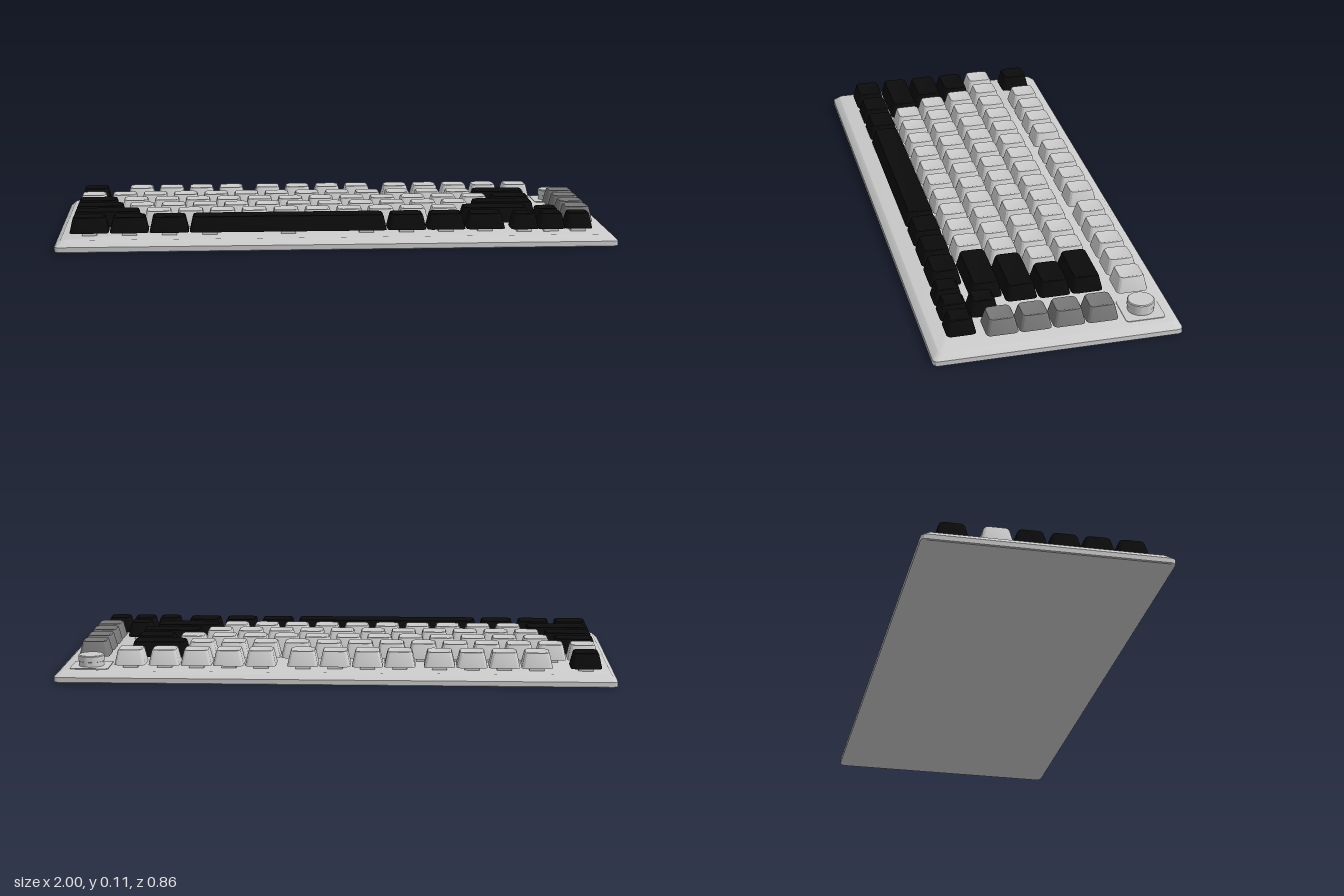
import * as THREE from 'three';
import { toCreasedNormals } from 'three/addons/utils/BufferGeometryUtils.js';

const mat = (color) => new THREE.MeshStandardMaterial({ color });
const light = mat(0xcccccc), mid = mat(0x777777), dark = mat(0x0b0b0b), green = mat(0x22cc33);

// Stacks rounded rectangles [y, inset, corner radius] into a closed solid.
function roundedLoft(w, d, sections, cornerSteps = 3) {
  const pos = [], index = [], n = 4 * (cornerSteps + 1);
  for (const [y, inset, r] of sections) {
    for (let q = 0; q < 4; q++) {
      const sx = q === 0 || q === 3 ? 1 : -1, sz = q < 2 ? -1 : 1;
      for (let s = 0; s <= cornerSteps; s++) {
        const a = (q + s / cornerSteps) * Math.PI / 2;
        pos.push(sx * (w / 2 - inset - r) + r * Math.cos(a), y, sz * (d / 2 - inset - r) - r * Math.sin(a));
      }
    }
  }
  const last = sections.length - 1;
  pos.push(0, sections[0][0], 0, 0, sections[last][0], 0);
  const bottom = n * sections.length, top = bottom + 1;
  for (let i = 0; i < n; i++) {
    const j = (i + 1) % n;
    for (let k = 0; k < last; k++) {
      const a = k * n + i, b = k * n + j;
      index.push(a, b, b + n, a, b + n, a + n);
    }
    index.push(bottom, j, i, top, last * n + i, last * n + j);
  }
  const g = new THREE.BufferGeometry();
  g.setAttribute('position', new THREE.Float32BufferAttribute(pos, 3));
  g.setIndex(index);
  return toCreasedNormals(g, 0.5);
}

function add(parent, name, geometry, material, x = 0, y = 0, z = 0) {
  const mesh = new THREE.Mesh(geometry, material);
  mesh.name = name;
  mesh.position.set(x, y, z);
  parent.add(mesh);
  return mesh;
}

const capCache = {};
function capGeometry(w, d) {
  const id = w.toFixed(3) + '/' + d.toFixed(3);
  // tapered skirt, bevelled rim and a shallow dish on top
  return capCache[id] ??= roundedLoft(w, d, [
    [0.054, 0, 0.016], [0.103, 0.011, 0.016], [0.1075, 0.0135, 0.015],
    [0.109, 0.018, 0.013], [0.107, 0.023, 0.012],
  ]);
}
const stemGeometry = new THREE.BoxGeometry(0.053, 0.03, 0.053);

// One key: tapered cap on a square switch stem.
function addKey(parent, name, x, z, w, d, material) {
  const key = new THREE.Group();
  key.name = name;
  key.position.set(x, 0, z);
  add(key, 'keycap', capGeometry(w, d), material);
  const stems = w > 0.5 ? [-0.28, 0, 0.28] : [0];
  for (const sx of stems) add(key, 'switchStem', stemGeometry, light, sx, 0.05, 0);
  parent.add(key);
}

export function createModel() {
  const model = new THREE.Group();
  model.name = 'keyboard';
  const keys = new THREE.Group();
  keys.name = 'keys';

  // Case with chamfered upper edge
  add(model, 'case', roundedLoft(2, 0.858, [
    [0, 0.004, 0.016], [0.003, 0, 0.018], [0.02, 0, 0.018], [0.04, 0.021, 0.016], [0.041, 0.024, 0.015],
  ]), light);

  const size = 0.111, pitch = 0.1155, gap = 0.004;
  const spanKey = (name, x0, x1, z) =>
    addKey(keys, name, (x0 + x1) / 2, z, x1 - x0 - gap, size, dark);

  // Function row
  const zTop = -0.315;
  addKey(keys, 'escapeKey', -0.893, zTop, size, size, dark);
  for (const start of [-0.719, -0.231, 0.266])
    for (let i = 0; i < 4; i++) addKey(keys, 'functionKey', start + i * pitch, zTop, size, size, light);
  addKey(keys, 'deleteKey', 0.735, zTop, size, size, light);

  // Character rows: z, first key centre, count, then dark end keys as x ranges
  const rows = [
    [-0.165, -0.893, 13, [[0.541, 0.757]]],
    [-0.05, -0.73, 12, [[-0.953, -0.787], [0.596, 0.757]]],
    [0.066, -0.703, 11, [[-0.953, -0.76], [0.51, 0.753]]],
    [0.18, -0.639, 10, [[-0.953, -0.697], [0.457, 0.714]]],
  ];
  for (const [z, x0, count, ends] of rows) {
    for (let i = 0; i < count; i++) addKey(keys, 'characterKey', x0 + i * pitch, z, size, size, light);
    for (const [a, b] of ends) spanKey('wideKey', a, b, z);
    // Side column
    addKey(keys, 'navigationKey', 0.888, z, size, size, mid);
  }

  // Bottom row with space bar
  const edges = [-0.953, -0.811, -0.67, -0.527, 0.18, 0.322, 0.463, 0.606];
  for (let i = 0; i < edges.length - 1; i++)
    spanKey(i === 3 ? 'spaceBar' : 'modifierKey', edges[i], edges[i + 1], 0.298);

  // Arrow cluster
  for (const [x, z] of [[0.674, 0.314], [0.771, 0.314], [0.869, 0.314], [0.771, 0.213]])
    addKey(keys, 'arrowKey', x, z, 0.099, 0.101, dark);
  model.add(keys);

  // Rotary knob on its square plate
  const knob = new THREE.Group();
  knob.name = 'knob';
  knob.position.set(0.88, 0, -0.314);
  add(knob, 'knobPlate', roundedLoft(0.138, 0.138, [[0.036, 0, 0.012], [0.0435, 0, 0.012]]), light);
  const profile = [[0, 0.04], [0.045, 0.04], [0.045, 0.06], [0.047, 0.061], [0.047, 0.08], [0.044, 0.083], [0, 0.083]]
    .map(([r, y]) => new THREE.Vector2(r, y));
  add(knob, 'knobBody', toCreasedNormals(new THREE.LatheGeometry(profile, 40), 0.5), light);
  model.add(knob);

  // Indicator lights
  for (const z of [-0.117, -0.033])
    add(model, 'indicatorLight', new THREE.BoxGeometry(0.008, 0.004, 0.012), green, 0.796, 0.041, z);

  return model;
}
